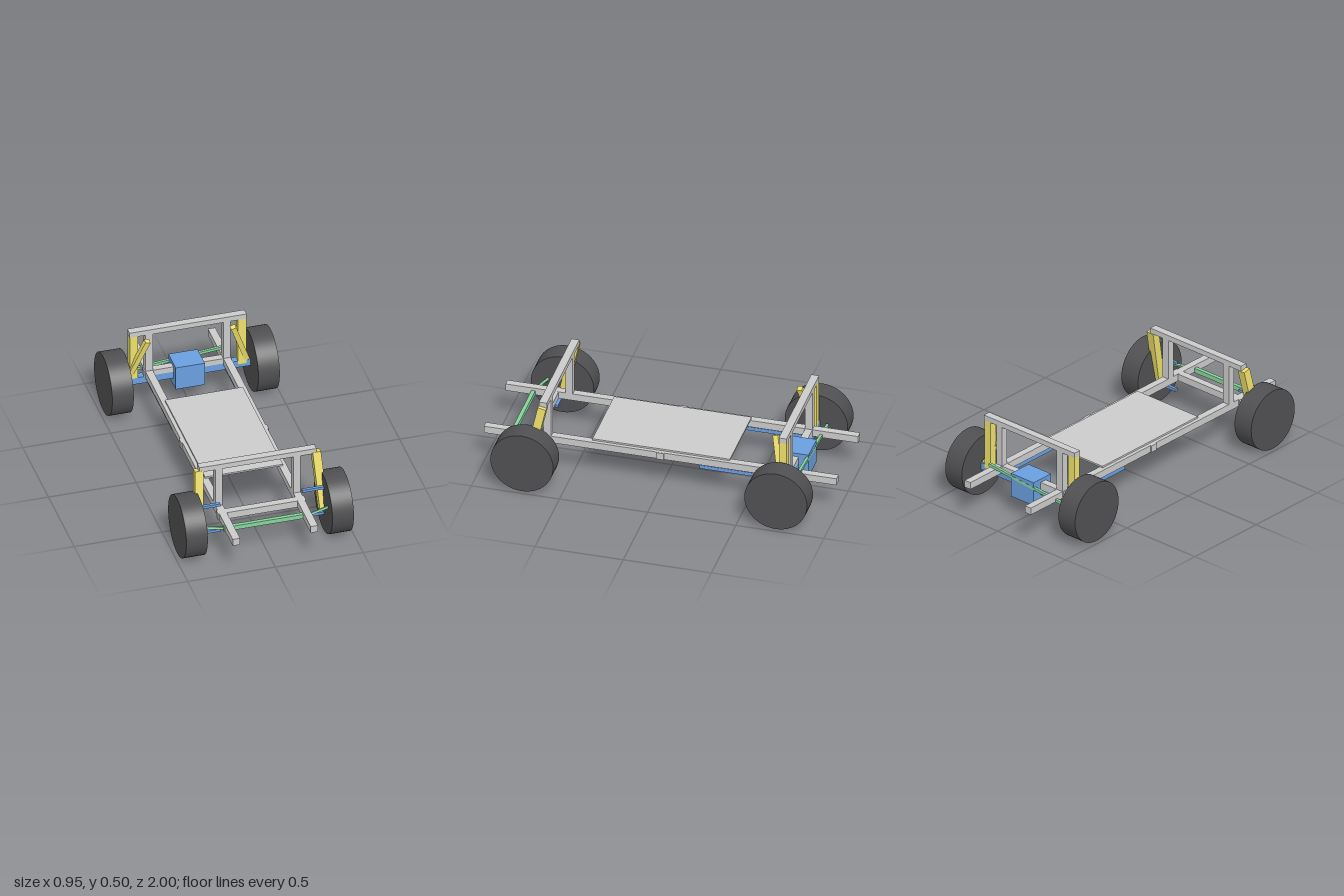
import * as THREE from 'three';

const material = (color) => new THREE.MeshStandardMaterial({ color });

export function createModel() {
  const model = new THREE.Group();
  const grey = material(0xcccccc);
  const black = material(0x505052);
  const blue = material(0x6a9fdf);
  const green = material(0x86d39c);
  const yellow = material(0xeee06c);

  // Axis-aligned box from its size and centre
  function box(name, mat, size, centre) {
    const mesh = new THREE.Mesh(new THREE.BoxGeometry(...size), mat);
    mesh.position.set(...centre);
    mesh.name = name;
    model.add(mesh);
    return mesh;
  }

  // Square bar between two points
  function bar(name, mat, from, to, thickness) {
    const a = new THREE.Vector3(...from);
    const b = new THREE.Vector3(...to);
    const dir = b.clone().sub(a);
    const mid = a.clone().add(b).multiplyScalar(0.5);
    const mesh = box(name, mat, [thickness, dir.length(), thickness], mid.toArray());
    mesh.quaternion.setFromUnitVectors(new THREE.Vector3(0, 1, 0), dir.normalize());
    return mesh;
  }

  const FRONT = 0.72, REAR = -0.72;
  const FRONT_HOOP = 0.64, REAR_HOOP = -0.72;

  // Ladder frame
  for (const z of [FRONT, 0, REAR]) {
    box('crossMember', grey, [0.5, 0.041, 0.042], [0, 0.209, z]);
  }
  box('deck', grey, [0.444, 0.01, 0.78], [0, 0.235, 0]);

  // Shock hoops: top bars, with posts added per side below
  for (const z of [FRONT_HOOP, REAR_HOOP]) {
    box('hoopBar', grey, [0.667, 0.031, 0.044], [0, 0.4845, z]);
  }

  // Rear axle and gearbox
  box('rearAxle', blue, [0.72, 0.042, 0.042], [0, 0.176, REAR]);
  box('gearbox', blue, [0.166, 0.142, 0.142], [0, 0.179, -0.727]);

  // Steering rack and rear track rod
  box('steeringRack', green, [0.5, 0.027, 0.022], [0, 0.2, 0.842]);
  bar('trackRod', green, [-0.333, 0.188, -0.791], [0.248, 0.244, -0.791], 0.016);

  for (const s of [-1, 1]) {
    box('rail', grey, [0.042, 0.042, 2], [s * 0.222, 0.209, 0]);
    for (const z of [FRONT_HOOP, REAR_HOOP]) {
      box('hoopPost', grey, [0.042, 0.25, 0.042], [s * 0.222, 0.35, z]);
    }

    // Wheels
    for (const z of [FRONT, REAR]) {
      const geometry = new THREE.CylinderGeometry(0.178, 0.178, 0.122, 48);
      geometry.rotateZ(Math.PI / 2);
      const wheel = new THREE.Mesh(geometry, black);
      wheel.position.set(s * 0.416, 0.179, z);
      wheel.name = 'wheel';
      model.add(wheel);
    }

    // Front suspension arms and tie rods
    for (const y of [0.278, 0.112]) {
      box('controlArm', blue, [0.125, 0.016, 0.018], [s * 0.296, y, FRONT]);
    }
    bar('tieRod', green, [s * 0.245, 0.2, 0.84], [s * 0.36, 0.2, 0.8], 0.013);
    bar('frontShock', yellow, [s * 0.355, 0.135, 0.712], [s * 0.335, 0.472, 0.64], 0.047);

    // Rear suspension
    box('rearStrut', yellow, [0.047, 0.295, 0.042], [s * 0.308, 0.323, REAR]);
    bar('rearShock', yellow, [s * 0.345, 0.178, -0.72], [s * 0.244, 0.458, -0.657], 0.03);
    box('trailingLink', blue, [0.022, 0.022, 0.5], [s * 0.222, 0.169, -0.47]);
  }

  return model;
}
